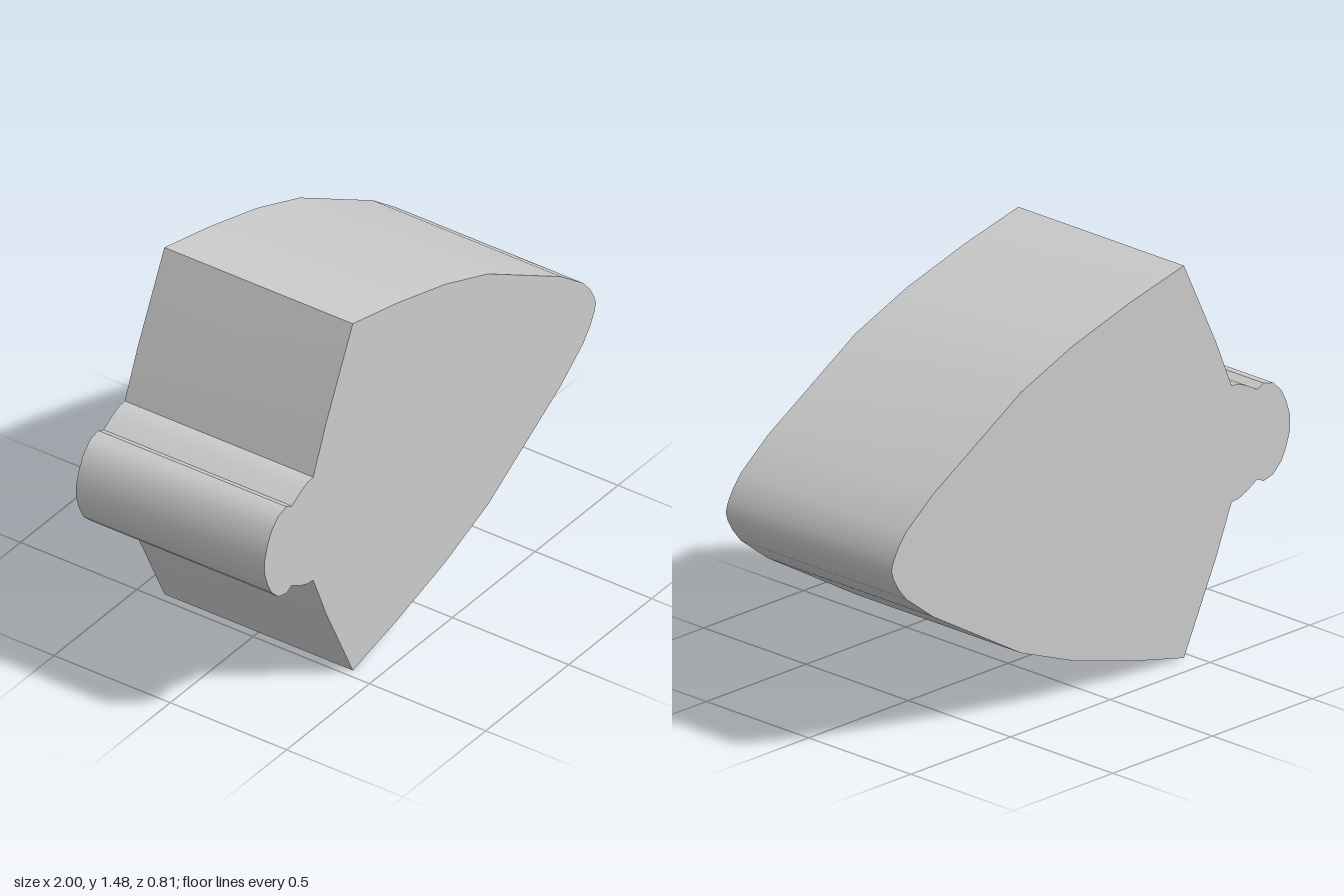
import * as THREE from 'three';
import { toCreasedNormals } from 'three/addons/utils/BufferGeometryUtils.js';

const MID = 0.7375; // height of the mirror line
const DEPTH = 0.81;

// Upper half of the outline: x, distance above the mirror line
const HALF = [
  // round knob
  [-1, 0.025], [-0.982, 0.082], [-0.957, 0.132], [-0.915, 0.172], [-0.867, 0.184],
  // neck
  [-0.835, 0.169], [-0.78, 0.2], [-0.74, 0.216], [-0.706, 0.219],
  // flared shoulder
  [-0.627, 0.408], [-0.467, 0.7375],
  // long curved flank
  [-0.2, 0.675], [0.09, 0.592], [0.35, 0.49], [0.79, 0.231],
  // rounded nose
  [0.925, 0.127], [0.965, 0.078], [0.99, 0.033],
];

export function createModel() {
  const group = new THREE.Group();
  group.name = 'knobbedWedge';

  // Full outline: upper half, nose point, then the mirrored lower half
  const points = [
    ...HALF.map(([x, h]) => new THREE.Vector2(x, MID + h)),
    new THREE.Vector2(1, MID),
    ...[...HALF].reverse().map(([x, h]) => new THREE.Vector2(x, MID - h)),
  ];

  // Straight slab, smooth around the curves and sharp at the corners
  const slab = new THREE.ExtrudeGeometry(new THREE.Shape(points), {
    depth: DEPTH, bevelEnabled: false,
  });
  slab.translate(0, 0, -DEPTH / 2);

  const body = new THREE.Mesh(
    toCreasedNormals(slab, 0.6),
    new THREE.MeshStandardMaterial({ color: 0xcccccc }),
  );
  body.name = 'body';
  group.add(body);
  return group;
}
